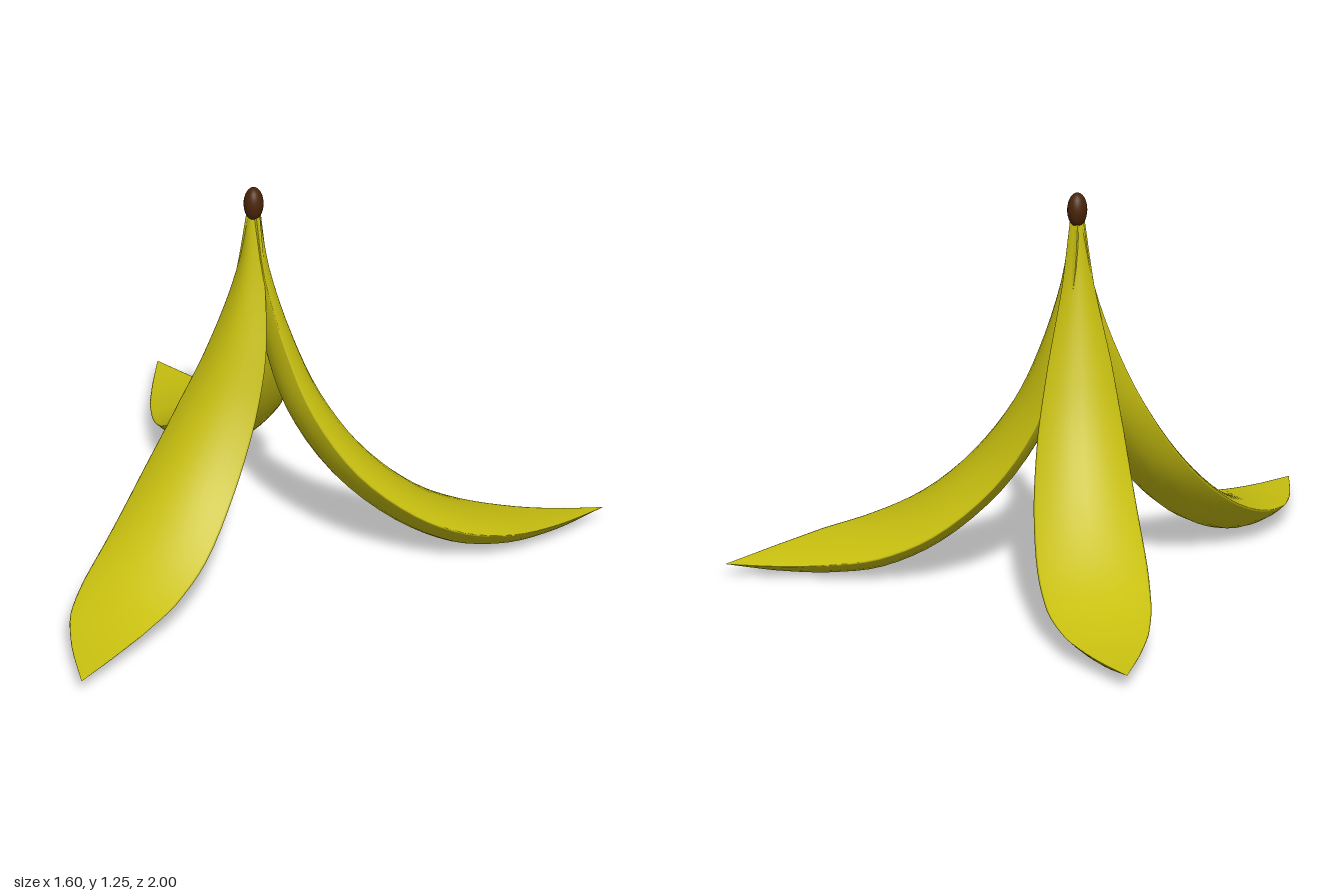
import * as THREE from 'three';

const peel = new THREE.MeshStandardMaterial({ color: 0xc8c010, side: THREE.DoubleSide });
const brown = new THREE.MeshStandardMaterial({ color: 0x4a2508 });

// Rows from stem to tip: distance out, height, half width, upper bulge, lower bulge, sideways bow
const rows = [
  [0, 1.21, 0.02, 0.015, 0.015, 0],
  [0.02, 0.98, 0.05, 0.03, 0.025, 0],
  [0.075, 0.74, 0.1, 0.045, 0.045, 0.015],
  [0.15, 0.54, 0.135, 0.055, 0.06, 0.05],
  [0.28, 0.35, 0.16, 0.055, 0.07, 0.08],
  [0.46, 0.2, 0.172, 0.04, 0.08, 0.09],
  [0.62, 0.125, 0.163, 0.025, 0.085, 0.097],
  [0.78, 0.09, 0.13, 0.01, 0.07, 0.09],
  [0.93, 0.072, 0.073, 0.003, 0.04, 0.055],
  [1.085, 0.063, 0.001, 0, 0, 0],
];
const path = new THREE.CatmullRomCurve3(rows.map(r => new THREE.Vector3(r[0], r[1], r[5])));
const section = new THREE.CatmullRomCurve3(rows.map(r => new THREE.Vector3(r[2], r[3], r[4])));

// Closed lens-shaped cross-sections swept along the drooping path
function petalGeometry(bow, bank) {
  const steps = 36, sides = 24, pos = [], index = [];
  for (let i = 0; i <= steps; i++) {
    const t = i / steps;
    const c = path.getPoint(t), s = section.getPoint(t), tan = path.getTangent(t);
    const len = Math.hypot(tan.x, tan.y);
    const nx = -tan.y / len, ny = tan.x / len;
    for (let k = 0; k < sides; k++) {
      const a = (k / sides) * Math.PI * 2;
      const lat = s.x * Math.cos(a), sn = Math.sin(a);
      const n = sn * Math.abs(sn) * Math.max(0, sn > 0 ? s.y : s.z) + bank * lat;
      pos.push(c.x + nx * n, c.y + ny * n, c.z * bow + lat);
      if (i < steps) {
        const p = i * sides + k, q = i * sides + (k + 1) % sides;
        index.push(p, p + sides, q, q, p + sides, q + sides);
      }
    }
  }
  const g = new THREE.BufferGeometry();
  g.setAttribute('position', new THREE.Float32BufferAttribute(pos, 3));
  g.setIndex(index);
  g.computeVertexNormals();
  return g;
}

export function createModel() {
  const group = new THREE.Group();
  group.name = 'bananaPeel';

  // Three splayed petals: name, heading in degrees, bow and bank
  const petals = [
    ['leftPetal', -10.1, 1, 0.15],
    ['backPetal', -108.8, 0.2, 0],
    ['frontPetal', 116.3, 0.9, 0],
  ];
  for (const [name, deg, bow, bank] of petals) {
    const m = new THREE.Mesh(petalGeometry(bow, bank), peel);
    m.name = name;
    m.position.set(-0.27, 0, 0.03);
    m.rotation.y = -THREE.MathUtils.degToRad(deg);
    group.add(m);
  }

  // Stem knob
  const stem = new THREE.Mesh(new THREE.SphereGeometry(1, 24, 16), brown);
  stem.name = 'stem';
  stem.scale.set(0.031, 0.055, 0.037);
  stem.position.set(-0.27, 1.22, 0.03);
  group.add(stem);
  return group;
}
